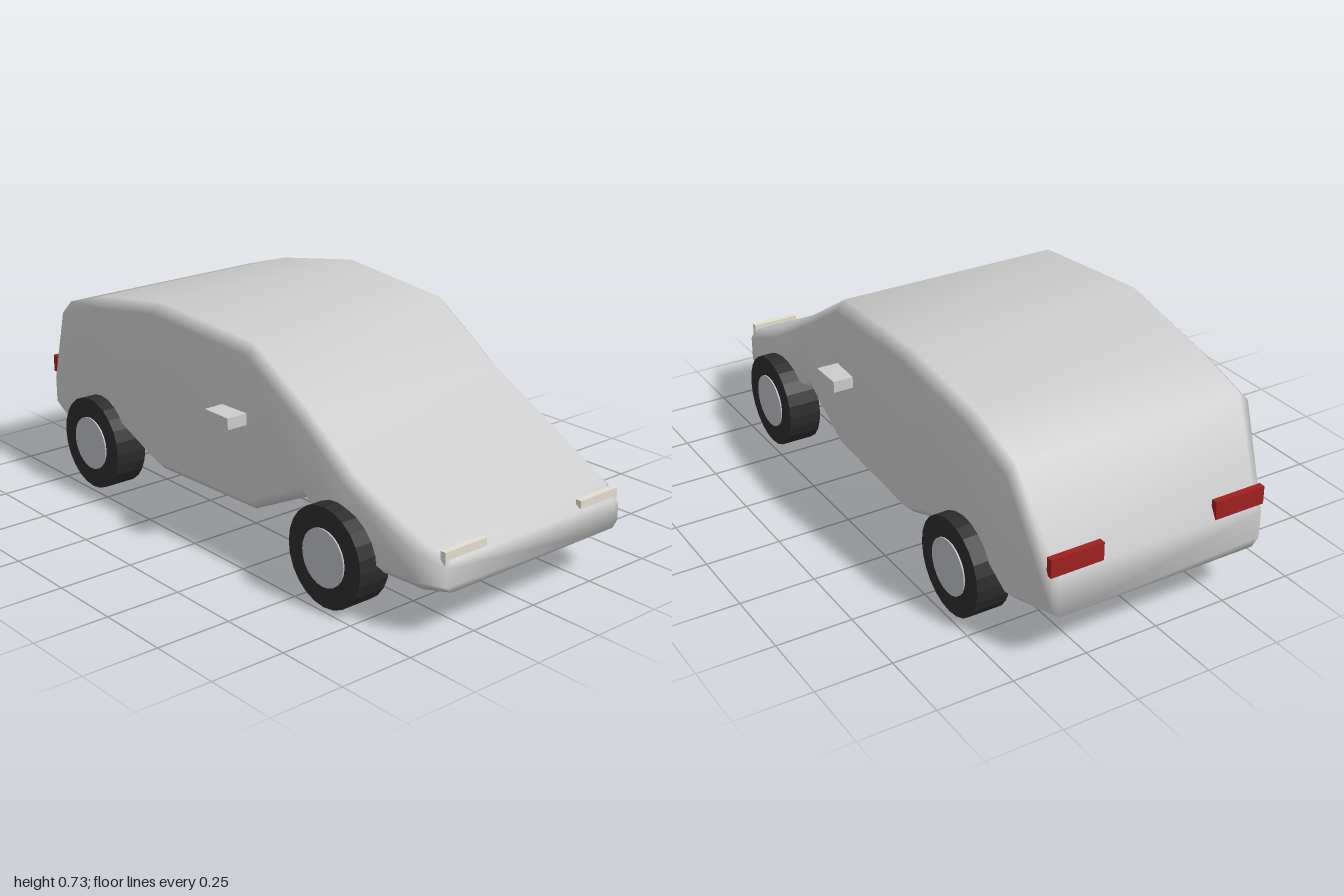
import * as THREE from 'three';

const mat = (color, flatShading = false) => new THREE.MeshStandardMaterial({ color, flatShading });

// Body: chamfered rectangular cross-sections lofted from nose to tail
function bodyGeometry() {
  // z, bottom, top, half width, chamfer
  const stations = [
    [1, 0.15, 0.245, 0.365, 0.02],
    [0.92, 0.14, 0.285, 0.405, 0.03],
    [0.65, 0.14, 0.41, 0.43, 0.035],
    [0.43, 0.27, 0.54, 0.415, 0.035],
    [0.18, 0.15, 0.695, 0.425, 0.035],
    [-0.28, 0.15, 0.725, 0.445, 0.035],
    [-0.63, 0.27, 0.665, 0.43, 0.035],
    [-0.84, 0.15, 0.6, 0.43, 0.035],
    [-1, 0.16, 0.3, 0.375, 0.025],
  ];
  const n = 8, pos = [], idx = [];
  for (const [z, b, t, w, c] of stations) {
    const ring = [[w - c, b], [w, b + c], [w, t - c], [w - c, t],
      [c - w, t], [-w, t - c], [-w, b + c], [c - w, b]];
    for (const [x, y] of ring) pos.push(x, y, z);
  }
  for (let i = 0; i < stations.length - 1; i++) {
    for (let j = 0; j < n; j++) {
      const a = i * n + j, b = i * n + (j + 1) % n;
      idx.push(a, a + n, b, b, a + n, b + n);
    }
  }
  // nose and tail caps
  const last = (stations.length - 1) * n;
  for (let j = 1; j < n - 1; j++) {
    idx.push(0, j, j + 1, last, last + j + 1, last + j);
  }
  const g = new THREE.BufferGeometry();
  g.setAttribute('position', new THREE.Float32BufferAttribute(pos, 3));
  g.setIndex(idx);
  g.computeVertexNormals();
  return g;
}

export function createModel() {
  const car = new THREE.Group();
  car.name = 'car';
  const grey = mat(0xcccccc), rubber = mat(0x2c2c2c, true), metal = mat(0xb8bbc2);
  const cream = mat(0xe2decf), red = mat(0xa02020);

  const add = (name, geometry, material, x, y, z, parent = car) => {
    const m = new THREE.Mesh(geometry, material);
    m.name = name;
    m.position.set(x, y, z);
    parent.add(m);
    return m;
  };

  add('body', bodyGeometry(), grey, 0, 0, 0);

  const tyre = new THREE.CylinderGeometry(0.16, 0.16, 0.112, 24).rotateZ(Math.PI / 2);
  const hub = new THREE.CylinderGeometry(0.092, 0.092, 0.12, 24).rotateZ(Math.PI / 2);
  const mirror = new THREE.BoxGeometry(0.1, 0.038, 0.115);
  const headlight = new THREE.BoxGeometry(0.165, 0.05, 0.02);
  const tailLight = new THREE.BoxGeometry(0.18, 0.06, 0.022);

  for (const [side, s] of [['left', 1], ['right', -1]]) {
    // wheels
    for (const [end, z] of [['Front', 0.61], ['Rear', -0.615]]) {
      const wheel = new THREE.Group();
      wheel.name = `${side}${end}Wheel`;
      wheel.position.set(s * 0.425, 0.16, z);
      add('tyre', tyre, rubber, 0, 0, 0, wheel);
      add('hub', hub, metal, s * 0.001, 0, 0, wheel);
      car.add(wheel);
    }
    // mirrors and lights
    add(`${side}Mirror`, mirror, grey, s * 0.448, 0.457, 0.125);
    add(`${side}Headlight`, headlight, cream, s * 0.2825, 0.25, 0.982);
    add(`${side}TailLight`, tailLight, red, s * 0.29, 0.332, -0.989);
  }
  return car;
}
